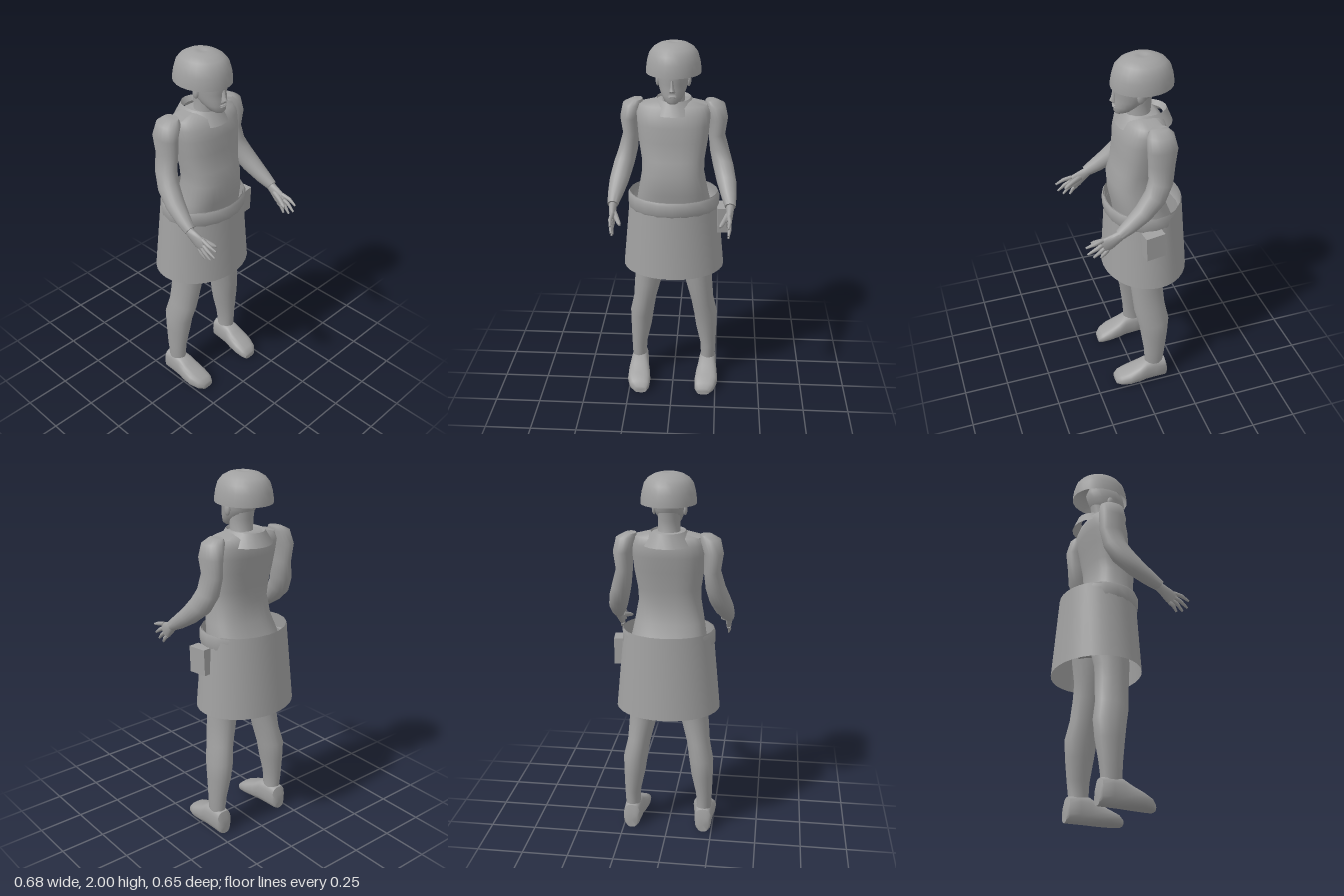
import * as THREE from 'three';
import { toCreasedNormals } from 'three/addons/utils/BufferGeometryUtils.js';

const grey = new THREE.MeshStandardMaterial({ color: 0xa0a0a0, side: THREE.DoubleSide });
grey.name = 'plain grey';

// Skin over rings [x, y, z, half width, half depth]; rings face along the path, or along a fixed axis
function loft(rings, { seg = 20, power = 2, axis = null, open = false, crease = 0.9 } = {}) {
  const pos = [], idx = [], U = new THREE.Vector3(1, 0, 0);
  const at = i => new THREE.Vector3(...rings[Math.max(0, Math.min(rings.length - 1, i))]);
  const bend = v => Math.sign(v) * Math.abs(v) ** (2 / power);
  rings.forEach((r, i) => {
    const T = axis ? axis.clone() : at(i + 1).sub(at(i - 1));
    T.x = 0;
    const V = U.clone().cross(T.normalize());
    for (let k = 0; k < seg; k++) {
      const a = k / seg * Math.PI * 2;
      const p = at(i).addScaledVector(U, bend(Math.cos(a)) * r[3]).addScaledVector(V, bend(Math.sin(a)) * r[4]);
      pos.push(p.x, p.y, p.z);
      if (i < rings.length - 1) {
        const b = i * seg + k, c = i * seg + (k + 1) % seg;
        idx.push(b, b + seg, c + seg, b, c + seg, c);
      }
    }
  });
  if (!open) {
    const n = rings.length * seg, last = n - seg;
    pos.push(...at(0).toArray(), ...at(rings.length - 1).toArray());
    for (let k = 0; k < seg; k++) {
      const m = (k + 1) % seg;
      idx.push(n, k, m, n + 1, last + m, last + k);
    }
  }
  const g = new THREE.BufferGeometry();
  g.setAttribute('position', new THREE.Float32BufferAttribute(pos, 3));
  g.setIndex(idx);
  return toCreasedNormals(g, crease);
}

const UP = new THREE.Vector3(0, 1, 0), FORWARD = new THREE.Vector3(0, 0, 1);
// Upright section given as [y, half width, front z, back z]
const upright = list => list.map(([y, rx, f, b]) => [0, y, (f + b) / 2, rx, (f - b) / 2]);

export function createModel() {
  const model = new THREE.Group();
  const add = (name, geo, parent = model) => {
    const m = new THREE.Mesh(geo, grey);
    m.name = name;
    parent.add(m);
    return m;
  };

  // Trunk, from the hips to the shoulders
  add('torso', loft(upright([
    [0.86, 0.15, 0.02, -0.17], [0.95, 0.19, 0.05, -0.22], [1.05, 0.205, 0.06, -0.24],
    [1.14, 0.2, 0.075, -0.205], [1.22, 0.185, 0.092, -0.16], [1.33, 0.165, 0.102, -0.145],
    [1.40, 0.167, 0.08, -0.15], [1.50, 0.183, 0.065, -0.165], [1.58, 0.19, 0.06, -0.18],
    [1.64, 0.195, 0.045, -0.185], [1.68, 0.18, 0.02, -0.17], [1.70, 0.1, -0.01, -0.14],
  ]), { seg: 32, power: 2.5, axis: UP }));

  // Collar band
  add('collar', loft(upright([
    [1.64, 0.14, 0.06, -0.235], [1.71, 0.09, 0.022, -0.205], [1.685, 0.08, 0.005, -0.185],
  ]), { seg: 20, axis: UP, open: true }));

  // Head and neck
  const head = new THREE.Group();
  head.name = 'head';
  model.add(head);
  add('neck', loft(upright([
    [1.64, 0.075, 0.01, -0.15], [1.70, 0.058, 0.0, -0.12], [1.76, 0.058, 0.01, -0.125],
    [1.82, 0.06, 0.0, -0.135],
  ]), { axis: UP }), head);
  add('face', loft(upright([
    [1.710, 0.022, 0.062, 0.015], [1.722, 0.042, 0.07, -0.02], [1.75, 0.059, 0.069, -0.07],
    [1.78, 0.071, 0.07, -0.115], [1.81, 0.077, 0.066, -0.137], [1.84, 0.081, 0.074, -0.145],
    [1.88, 0.082, 0.066, -0.16], [1.93, 0.06, 0.02, -0.14], [1.95, 0.03, -0.02, -0.1],
  ]), { seg: 24, axis: UP }), head);
  add('nose', loft([
    [0, 1.772, 0.068, 0.017, 0.014], [0, 1.782, 0.074, 0.015, 0.018],
    [0, 1.80, 0.068, 0.009, 0.015], [0, 1.835, 0.066, 0.007, 0.01],
  ], { seg: 8, axis: UP }), head);
  for (const [name, y, w] of [['upperLip', 1.754, 0.024], ['lowerLip', 1.746, 0.02]]) {
    const lip = add(name, new THREE.SphereGeometry(1, 12, 8), head);
    lip.scale.set(w, 0.005, 0.01);
    lip.position.set(0, y, 0.067);
  }
  for (const s of [1, -1]) {
    const ear = add(s > 0 ? 'leftEar' : 'rightEar', new THREE.SphereGeometry(1, 10, 8), head);
    ear.scale.set(0.012, 0.032, 0.02);
    ear.position.set(s * 0.08, 1.81, -0.045);
  }

  // Open-bottomed helmet with a small sunken crown disc
  const helmet = add('helmet', new THREE.LatheGeometry([
    [0.143, 1.845], [0.142, 1.87], [0.137, 1.905], [0.126, 1.945], [0.105, 1.972],
    [0.075, 1.99], [0.045, 1.998], [0.022, 2.0], [0.02, 1.994], [0, 1.994],
  ].map(p => new THREE.Vector2(...p)), 24));
  helmet.scale.z = 1.12;
  helmet.position.z = -0.077;

  // Skirt, waistband and pouch
  add('skirt', loft(upright([[0.75, 0.28, 0.14, -0.325], [1.19, 0.238, 0.115, -0.29]]),
    { seg: 32, axis: UP, open: true }));
  add('waistband', loft(upright([
    [1.105, 0.243, 0.118, -0.28], [1.12, 0.249, 0.127, -0.285],
    [1.175, 0.249, 0.13, -0.286], [1.19, 0.243, 0.122, -0.284],
  ]), { seg: 20, axis: UP, open: true }));
  const pouch = add('pouch', new THREE.BoxGeometry(0.062, 0.142, 0.108));
  pouch.position.set(0.266, 1.048, -0.058);
  pouch.rotation.set(0.04, 0.12, 0);

  // Limbs, one set for each side
  for (const s of [1, -1]) {
    const side = s > 0 ? 'left' : 'right';
    const limb = (name, rings, opts) =>
      add(side + name, loft(rings.map(([x, ...r]) => [s * x, ...r]), opts));

    limb('Arm', [
      [0.195, 1.695, -0.10, 0.03, 0.045], [0.215, 1.672, -0.10, 0.054, 0.068],
      [0.235, 1.60, -0.105, 0.05, 0.079], [0.228, 1.51, -0.105, 0.044, 0.071],
      [0.245, 1.42, -0.095, 0.052, 0.066], [0.265, 1.35, -0.06, 0.055, 0.062],
      [0.285, 1.28, 0.01, 0.052, 0.05], [0.299, 1.225, 0.085, 0.04, 0.04],
      [0.307, 1.19, 0.14, 0.028, 0.03],
    ]);
    limb('Palm', [
      [0.307, 1.192, 0.125, 0.022, 0.024], [0.306, 1.17, 0.16, 0.019, 0.033],
      [0.302, 1.145, 0.2, 0.017, 0.042], [0.3, 1.13, 0.228, 0.012, 0.04],
    ], { seg: 14 });
    // Fingertips [y, z], fanned from the edge of the palm
    [[1.142, 0.318], [1.098, 0.308], [1.072, 0.278], [1.062, 0.24]].forEach(([y, z], i) => {
      const k = i - 1.5, y0 = 1.14 - 0.02 * k, z0 = 0.212 - 0.009 * k;
      limb('Finger', [
        [0.301, y0, z0, 0.011, 0.012], [0.306, (y0 + y) / 2 + 0.003, (z0 + z) / 2, 0.01, 0.011],
        [0.3, y, z, 0.005, 0.006],
      ], { seg: 8 });
    });
    limb('Thumb', [
      [0.3, 1.165, 0.17, 0.016, 0.018], [0.279, 1.15, 0.225, 0.014, 0.014],
      [0.264, 1.138, 0.262, 0.012, 0.011], [0.257, 1.132, 0.278, 0.006, 0.006],
    ], { seg: 8 });

    limb('Leg', [
      [0.2, 0.10, -0.1, 0.04, 0.052], [0.203, 0.14, -0.097, 0.041, 0.055],
      [0.202, 0.22, -0.1, 0.045, 0.062], [0.19, 0.34, -0.1, 0.06, 0.078],
      [0.184, 0.43, -0.098, 0.067, 0.088], [0.165, 0.53, -0.077, 0.064, 0.09],
      [0.145, 0.65, -0.068, 0.075, 0.09], [0.133, 0.75, -0.062, 0.08, 0.094],
      [0.115, 0.88, -0.07, 0.098, 0.108], [0.11, 1.0, -0.08, 0.09, 0.11],
    ]);
    // Shoe sections [z, x, half width, height], heel to toe
    limb('Shoe', [
      [-0.172, 0.203, 0.032, 0.09], [-0.16, 0.203, 0.046, 0.135], [-0.1, 0.201, 0.05, 0.146],
      [-0.045, 0.2, 0.054, 0.14], [0.0, 0.198, 0.062, 0.112], [0.06, 0.195, 0.066, 0.084],
      [0.11, 0.188, 0.056, 0.062], [0.135, 0.182, 0.036, 0.04],
    ].map(([z, x, w, h]) => [x, h / 2 + 0.003, z, w, h / 2]), { axis: FORWARD, power: 2.8 });
  }
  return model;
}
